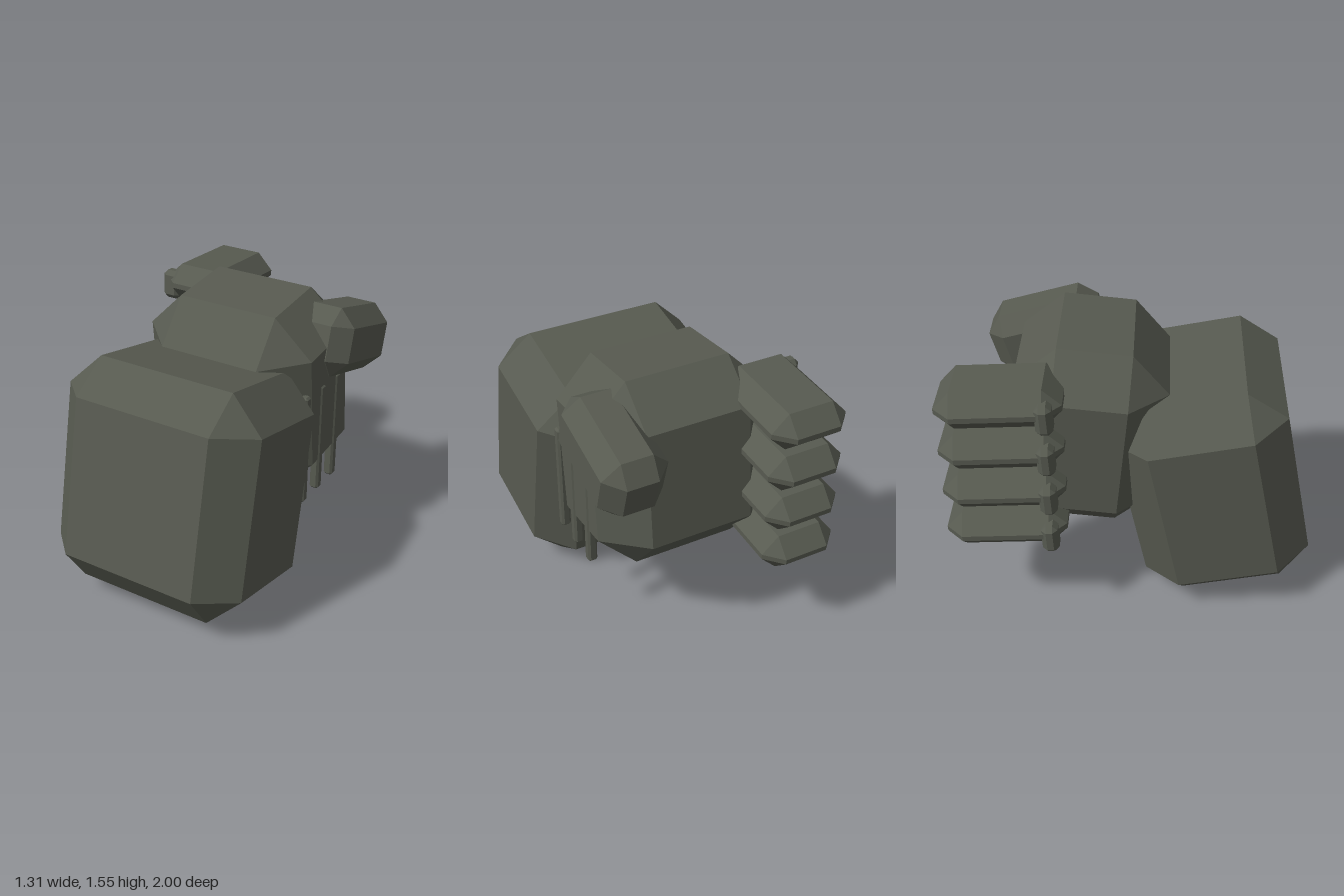
import * as THREE from 'three';
import { ConvexGeometry } from 'three/addons/geometries/ConvexGeometry.js';

// Box with every edge and corner cut off by the same bevel
function chamferedBox(width, height, depth, bevel) {
  const half = [width / 2, height / 2, depth / 2];
  const points = [];
  for (let axis = 0; axis < 3; axis++) {
    for (const sx of [-1, 1]) for (const sy of [-1, 1]) for (const sz of [-1, 1]) {
      const p = [sx, sy, sz].map((s, i) => s * (i === axis ? half[i] : half[i] - bevel));
      points.push(new THREE.Vector3(...p));
    }
  }
  return new ConvexGeometry(points);
}

export function createModel() {
  const model = new THREE.Group();
  model.name = 'fist';

  const gunmetal = new THREE.MeshStandardMaterial({ color: 0x575a50, flatShading: true });
  gunmetal.name = 'dark olive grey';

  function addBlock(name, size, bevel, position, tilt = 0) {
    const mesh = new THREE.Mesh(chamferedBox(...size, bevel), gunmetal);
    mesh.name = name;
    mesh.position.set(...position);
    mesh.rotation.x = tilt;
    model.add(mesh);
  }

  // Large front block, leaning back
  addBlock('frontBlock', [1.186, 1.275, 0.94], 0.19, [0.0425, 0.685, 0.45], -0.203);

  // Palm block behind it, leaning forward
  addBlock('palm', [1.025, 1.097, 0.83], 0.215, [0.0425, 0.993, -0.25], 0.1);

  // Stubby block on the left shoulder of the palm
  addBlock('thumb', [0.365, 0.385, 0.65], 0.095, [0.4725, 1.255, -0.507], -0.277);

  // Four stacked fingers, each with a knuckle on the outer side
  for (let i = 0; i < 4; i++) {
    const y = 1.377 - i * 0.258;
    addBlock('finger' + (i + 1), [0.444, 0.218, 0.656], 0.094, [-0.422, y, -0.672], -0.054);
    addBlock('knuckle' + (i + 1), [0.115, 0.172, 0.09], 0.027, [-0.602, y - 0.01, -0.433], -0.054);
  }

  // Slim upright rods along the left side of the palm
  [0.002, -0.17, -0.346].forEach((z, i) => {
    addBlock('rod' + (i + 1), [0.054, 0.66, 0.056], 0.012, [0.536, 0.778, z]);
  });

  return model;
}
